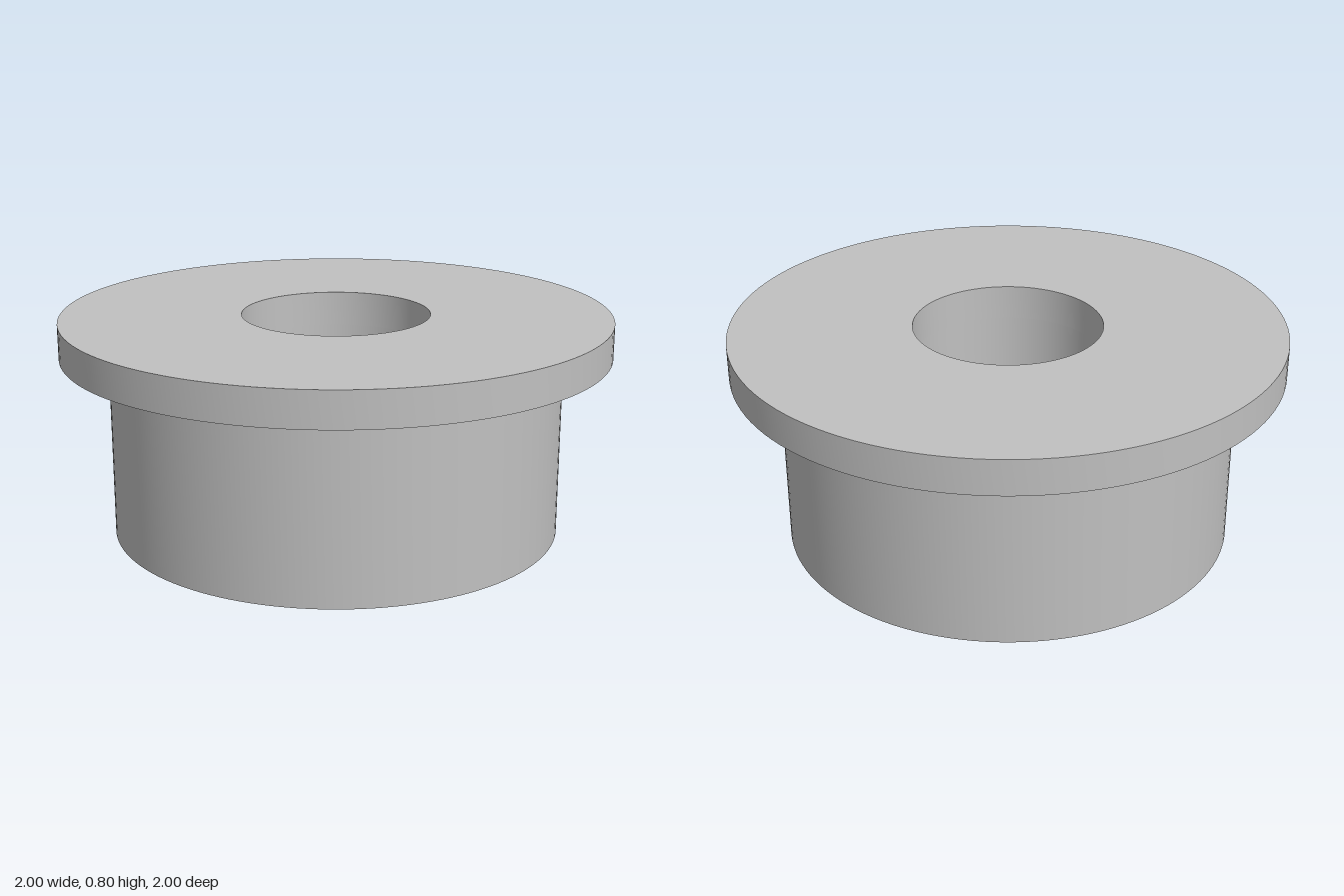
import * as THREE from 'three';
import { toCreasedNormals } from 'three/addons/utils/BufferGeometryUtils.js';

const BORE = 0.343, BODY = 0.825, RIM = 1;
const FLANGE_Y = 0.672, TOP = 0.8;

// Revolves a counter-clockwise [radius, y] profile, keeping its corners sharp
function revolve(name, profile, material) {
  const points = profile.map(([r, y]) => new THREE.Vector2(r, y));
  const geometry = toCreasedNormals(new THREE.LatheGeometry(points, 128), Math.PI / 6);
  const mesh = new THREE.Mesh(geometry, material);
  mesh.name = name;
  return mesh;
}

export function createModel() {
  const metal = new THREE.MeshStandardMaterial({ color: 0xc0c0c0 });
  metal.name = 'light grey metal';

  const bushing = new THREE.Group();
  bushing.name = 'flangedBushing';

  // Sleeve: lower bore, bottom ring and outer wall
  bushing.add(revolve('sleeve', [
    [BORE, FLANGE_Y], [BORE, 0], [BODY, 0], [BODY, FLANGE_Y],
  ], metal));

  // Flange: underside, rim, top ring and upper bore
  bushing.add(revolve('flange', [
    [BODY, FLANGE_Y], [RIM, FLANGE_Y], [RIM, TOP], [BORE, TOP], [BORE, FLANGE_Y],
  ], metal));

  return bushing;
}
